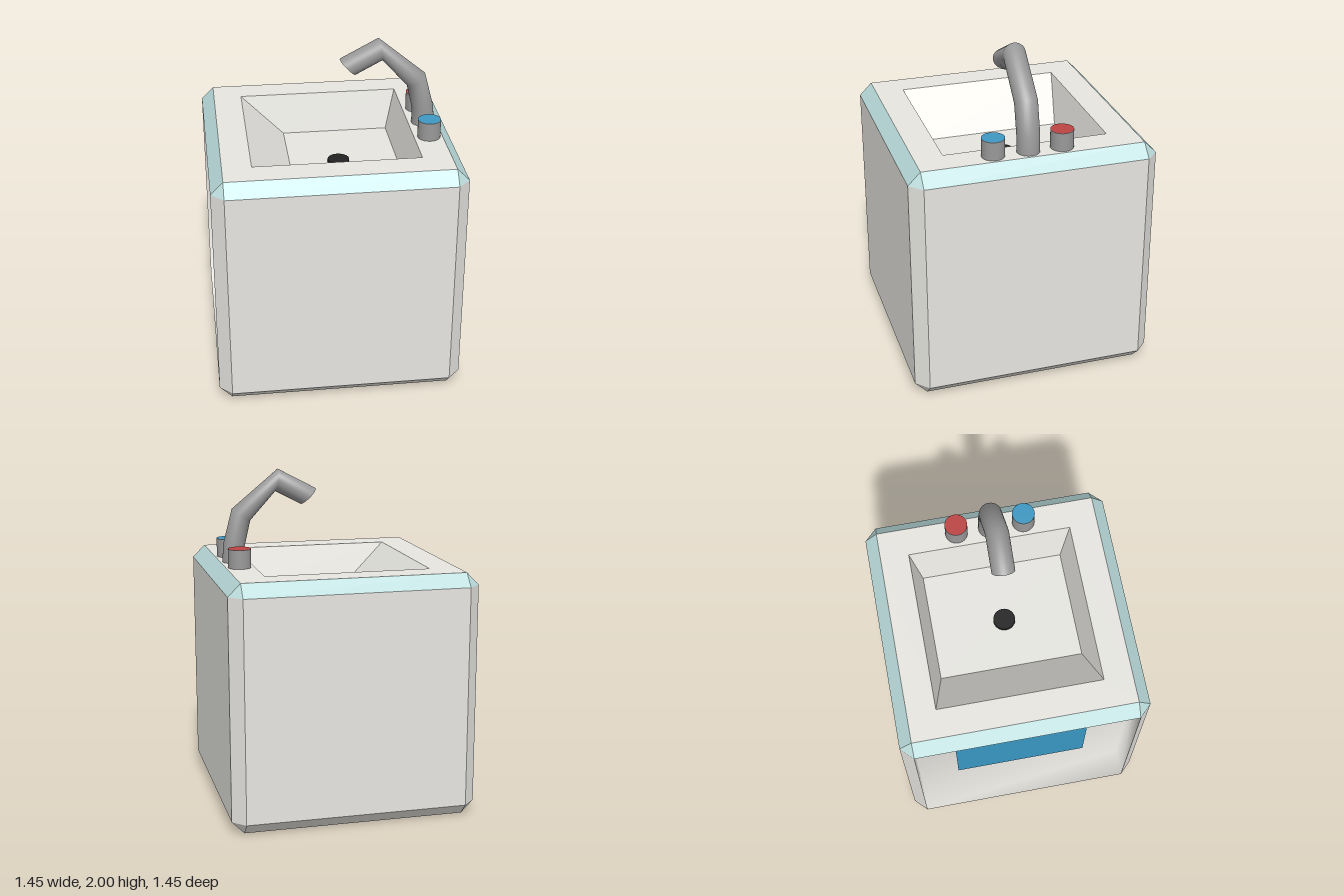
import * as THREE from 'three';

const paint = (color) => new THREE.MeshStandardMaterial({ color });

// Skin a series of rings; optionally close the last one, skip some quads, facet the result
function loft(rings, { cap = false, flat = false, keep = () => true } = {}) {
  const n = rings[0].length;
  const index = [];
  for (let i = 0; i < rings.length - 1; i++) {
    for (let j = 0; j < n; j++) {
      if (!keep(i, j)) continue;
      const a = i * n + j, b = i * n + (j + 1) % n;
      index.push(a, b, b + n, a, b + n, a + n);
    }
  }
  const last = (rings.length - 1) * n;
  if (cap) for (let j = 1; j < n - 1; j++) index.push(last, last + j, last + j + 1);
  let geo = new THREE.BufferGeometry();
  geo.setAttribute('position', new THREE.Float32BufferAttribute(rings.flat(2), 3));
  geo.setIndex(index);
  if (flat) geo = geo.toNonIndexed();
  geo.computeVertexNormals();
  return geo;
}

export function createModel() {
  const model = new THREE.Group();
  const add = (name, geo, mat, x = 0, y = 0, z = 0) => {
    const mesh = new THREE.Mesh(geo, mat);
    mesh.name = name;
    mesh.position.set(x, y, z);
    model.add(mesh);
  };

  const shell = paint(0xe6e5e0), trim = paint(0xbadada), metal = paint(0x999999);
  const H = 0.727, C = 0.654, TOP = 1.455, BEVEL = 0.074;

  // Octagonal outline; equal arguments collapse it to a square
  const outline = (y, h, c) => [
    [h, y, -c], [c, y, -h], [-c, y, -h], [-h, y, -c],
    [-h, y, c], [-c, y, h], [c, y, h], [h, y, c],
  ];

  // Bevelled cabinet, open on one side for the recess
  add('cabinet', loft(
    [outline(0, C, C), outline(BEVEL, H, C), outline(TOP - BEVEL, H, C)],
    { flat: true, keep: (i, j) => !(i === 1 && j === 3) }), shell);
  add('cabinetBottom', new THREE.PlaneGeometry(2 * C, 2 * C).rotateX(Math.PI / 2), shell);
  add('topTrim', loft([outline(TOP - BEVEL, H, C), outline(TOP, C, C)], { flat: true }), trim);

  // Countertop with the basin opening
  const R = 0.486;
  const top = new THREE.Shape([[-C, -C], [C, -C], [C, C], [-C, C]].map((p) => new THREE.Vector2(...p)));
  top.holes.push(new THREE.Path([[-R, -R], [-R, R], [R, R], [R, -R]].map((p) => new THREE.Vector2(...p))));
  add('countertop', new THREE.ShapeGeometry(top).rotateX(-Math.PI / 2), shell, 0, TOP);

  // Shallow basin, with one wall sloping more than the others
  const rect = (y, x0, x1, z) => [[x1, y, z], [x1, y, -z], [x0, y, -z], [x0, y, z]];
  add('basin', loft([rect(TOP, -R, R, R), rect(1.215, -0.228, 0.425, 0.424)],
    { cap: true, flat: true }), shell);
  add('drain', new THREE.CylinderGeometry(0.065, 0.065, 0.03, 32), paint(0x222222), 0.067, 1.22, 0.01);

  // Shallow side recess with softly shaded walls and a square panel at its back
  const opening = (x) => [
    [x, TOP - BEVEL, C], [x, TOP - BEVEL, -C], [x, BEVEL, -C], [x, BEVEL, C],
  ];
  add('sideRecess', loft([opening(-H), opening(-H + 0.165)], { cap: true }), shell);
  add('sidePanel', new THREE.PlaneGeometry(0.82, 0.81).rotateY(-Math.PI / 2),
    paint(0x3896c2), -H + 0.16, 0.728, 0);

  // Tap handles with coloured caps
  const r = 0.067, tapX = 0.574, tapZ = 0.015;
  for (const [name, side, color] of [['cold', 1, 0x3f97c2], ['hot', -1, 0xbc4444]]) {
    const z = tapZ + 0.003 + side * 0.202;
    add(name + 'Handle', new THREE.CylinderGeometry(r, r, 0.11, 32), metal, tapX, TOP + 0.055, z);
    add(name + 'Cap', new THREE.CircleGeometry(r, 32).rotateX(-Math.PI / 2), paint(color), tapX, TOP + 0.112, z);
  }

  // Bent spout: outer and inner edge points of each mitred section
  const sections = [
    [0.641, 1.455, 0.507, 1.455], [0.635, 1.56, 0.507, 1.55], [0.58, 1.77, 0.472, 1.7],
    [0.3, 2.0, 0.32, 1.87], [0.072, 1.88, 0.165, 1.788],
  ];
  const rings = sections.map(([ox, oy, ix, iy]) => Array.from({ length: 32 }, (_, k) => {
    const t = (k / 32) * Math.PI * 2, u = (1 + Math.cos(t)) / 2;
    return [ix + (ox - ix) * u, iy + (oy - iy) * u, tapZ - r * Math.sin(t)];
  }));
  add('spout', loft(rings), metal);
  add('spoutEnd', loft([rings.at(-1)], { cap: true }), metal);

  return model;
}
